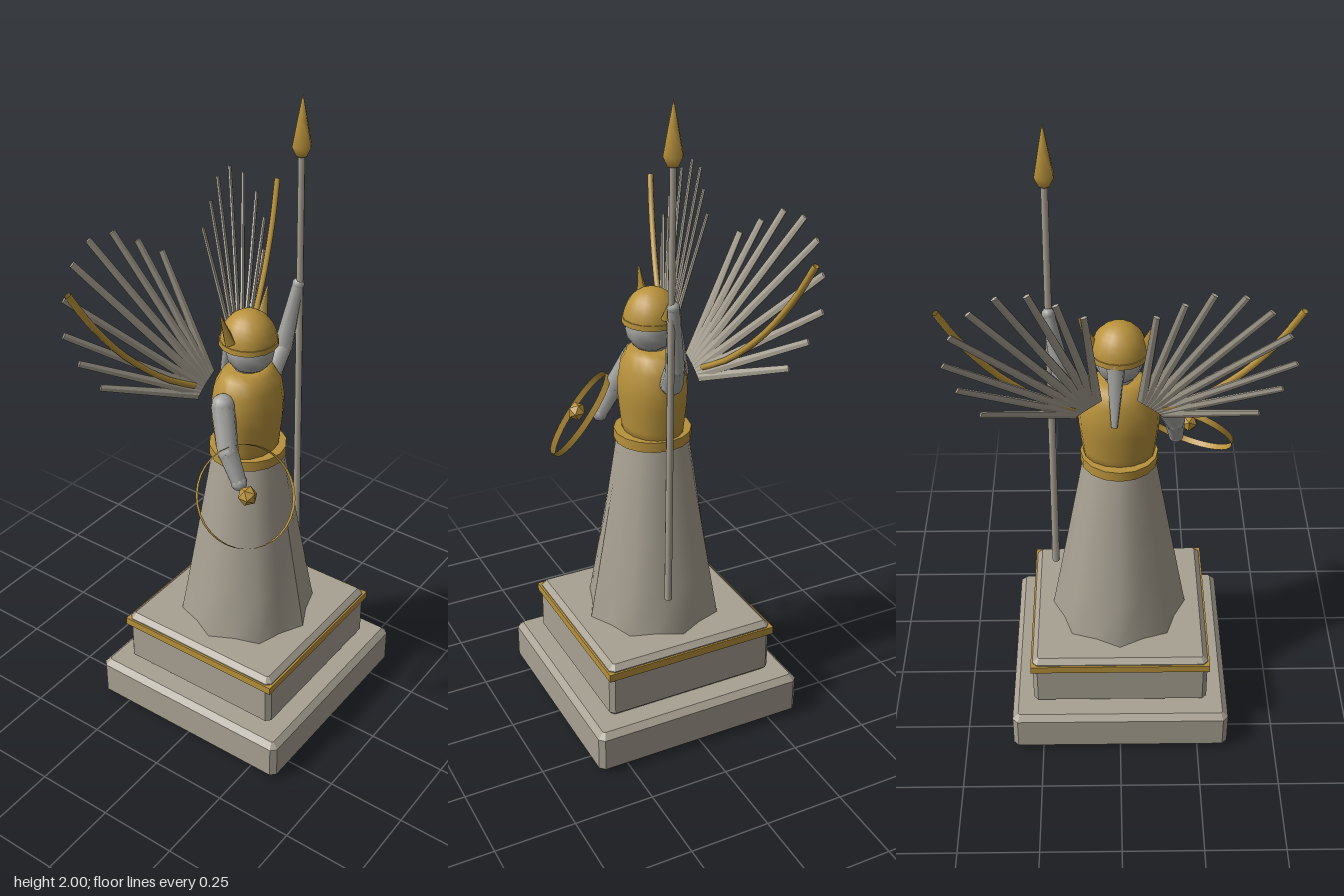
import * as THREE from 'three';

const mat = (name, color, side = THREE.FrontSide) => {
  const m = new THREE.MeshStandardMaterial({ color, side });
  m.name = name;
  return m;
};
const V = (x, y, z) => new THREE.Vector3(x, y, z);

export function createModel() {
  const root = new THREE.Group();
  root.name = 'wingedStatue';
  const stone = mat('warm stone', 0xa8a193);
  const skin = mat('pale grey', 0xa3a3a0);
  const gold = mat('gold', 0xb8923c, THREE.DoubleSide);

  const add = (name, geo, material, parent = root) => {
    const mesh = new THREE.Mesh(geo, material);
    mesh.name = name;
    parent.add(mesh);
    return mesh;
  };

  // Tapered round bar between two points
  const bar = (name, a, b, ra, rb, material, sides = 8, parent = root) => {
    const dir = b.clone().sub(a);
    const mesh = add(name, new THREE.CylinderGeometry(rb, ra, dir.length(), sides), material, parent);
    mesh.position.copy(a).lerp(b, 0.5);
    mesh.quaternion.setFromUnitVectors(V(0, 1, 0), dir.normalize());
    return mesh;
  };
  const ball = (name, p, r, material, parent = root) => {
    const mesh = add(name, new THREE.SphereGeometry(r, 10, 8), material, parent);
    mesh.position.copy(p);
    return mesh;
  };

  // Square block with all edges chamfered
  const block = (name, half, y0, y1, c) => {
    const h = half - c, k = h - c * 0.3;
    const s = new THREE.Shape([
      [-k, -h], [k, -h], [h, -k], [h, k], [k, h], [-k, h], [-h, k], [-h, -k],
    ].map(([x, y]) => new THREE.Vector2(x, y)));
    const g = new THREE.ExtrudeGeometry(s, {
      depth: y1 - y0 - 2 * c, bevelEnabled: true, bevelSegments: 1, bevelSize: c, bevelThickness: c,
    });
    g.rotateX(-Math.PI / 2).translate(0, y0 + c, 0);
    return add(name, g, stone);
  };

  // Pedestal
  block('lowerPlinth', 0.347, 0, 0.143, 0.018);
  block('upperPlinth', 0.279, 0.143, 0.33, 0.016);
  add('plinthTrim', new THREE.BoxGeometry(0.57, 0.025, 0.57), gold).position.y = 0.298;

  // Gown with softly folded hem
  const gown = new THREE.CylinderGeometry(0.108, 0.212, 0.62, 16, 4, true);
  const p = gown.attributes.position;
  for (let i = 0; i < p.count; i++) {
    const a = Math.atan2(p.getX(i), p.getZ(i));
    const t = 0.5 - p.getY(i) / 0.62;
    const f = 1 + t * (0.055 * Math.cos(8 * a) - 0.03);
    p.setX(i, p.getX(i) * f);
    p.setZ(i, p.getZ(i) * f);
  }
  gown.computeVertexNormals();
  add('gown', gown, stone).position.y = 0.64;

  // Breastplate and belt
  const profile = [[0.0, 0.935], [0.106, 0.935], [0.112, 0.98], [0.122, 1.06], [0.124, 1.11],
    [0.114, 1.17], [0.09, 1.21], [0.065, 1.222], [0, 1.222]].map(([x, y]) => new THREE.Vector2(x, y));
  add('breastplate', new THREE.LatheGeometry(profile, 16), gold).scale.z = 0.83;
  add('belt', new THREE.CylinderGeometry(0.119, 0.119, 0.032, 16), gold).position.y = 0.943;

  // Head, helmet and braid
  bar('neck', V(0, 1.18, 0), V(0, 1.26, 0), 0.045, 0.04, skin, 10);
  ball('head', V(0, 1.285, 0.008), 0.074, skin);
  const helmet = add('helmet', new THREE.SphereGeometry(0.086, 16, 8, 0, Math.PI * 2, 0, Math.PI / 2), gold);
  helmet.position.set(0, 1.308, 0.003);
  helmet.scale.y = 1.17;
  add('helmetBrim', new THREE.CylinderGeometry(0.088, 0.089, 0.016, 16), gold).position.set(0, 1.312, 0.003);
  const braid = bar('braid', V(0.01, 1.31, -0.06), V(0.015, 1.12, -0.108), 0.03, 0.01, skin, 6);
  braid.scale.z = 0.8;
  for (const s of [-1, 1])
    bar('helmetHorn', V(s * 0.078, 1.335, -0.008), V(s * 0.115, 1.435, -0.012), 0.021, 0.003, gold, 4);

  // Lowered right arm
  const shoulderR = V(-0.125, 1.15, 0), elbowR = V(-0.17, 1.03, 0.05), handR = V(-0.178, 0.945, 0.095);
  bar('rightUpperArm', shoulderR, elbowR, 0.036, 0.032, skin);
  ball('rightShoulder', shoulderR, 0.036, skin);
  ball('rightElbow', elbowR, 0.032, skin);
  bar('rightForearm', elbowR, handR, 0.032, 0.024, skin);
  ball('rightHand', handR, 0.025, skin);

  // Raised left arm
  const shoulderL = V(0.125, 1.15, 0), elbowL = V(0.168, 1.22, 0.012), handL = V(0.204, 1.42, 0.037);
  bar('leftUpperArm', shoulderL, elbowL, 0.035, 0.03, skin);
  ball('leftShoulder', shoulderL, 0.035, skin);
  ball('leftElbow', elbowL, 0.03, skin);
  bar('leftForearm', elbowL, handL, 0.03, 0.018, skin);
  ball('leftHand', handL, 0.019, skin);

  // Spear
  bar('spearShaft', V(0.207, 0.47, 0.05), V(0.202, 1.84, 0.04), 0.012, 0.01, stone);
  const tip = [[0, 1.82], [0.017, 1.82], [0.031, 1.85], [0.016, 1.925], [0, 2]];
  add('spearHead', new THREE.LatheGeometry(tip.map(([x, y]) => new THREE.Vector2(x, y)), 6), gold)
    .position.set(0.202, 0, 0.04);

  // Open hoop shield with a central boss
  const hoop = add('shieldHoop', new THREE.CylinderGeometry(0.152, 0.152, 0.02, 32, 1, true), gold);
  hoop.position.set(-0.215, 0.938, 0.147);
  hoop.quaternion.setFromUnitVectors(V(0, 1, 0), V(-0.37, 0.58, 0.72).normalize());
  add('shieldBoss', new THREE.IcosahedronGeometry(0.03, 0), gold).position.set(-0.22, 0.947, 0.156);

  // Wings: fans of flat feathers, each tip given as x, y, z
  const tips = [[0.097, 1.57, -0.232], [0.17, 1.623, -0.258], [0.243, 1.668, -0.285],
    [0.325, 1.67, -0.3], [0.395, 1.625, -0.3], [0.45, 1.545, -0.288],
    [0.475, 1.45, -0.275], [0.445, 1.355, -0.255], [0.388, 1.258, -0.232]];
  for (const s of [-1, 1]) {
    const wing = new THREE.Group();
    wing.name = s > 0 ? 'leftWing' : 'rightWing';
    root.add(wing);
    const normal = V(s * 0.38, 0.21, 0.89).normalize();
    tips.forEach(([x, y, z], i) => {
      const t = i / (tips.length - 1);
      const a = V(s * (0.065 + 0.06 * t), 1.2 - 0.045 * t, -0.09), b = V(s * x, y, z);
      const up = b.clone().sub(a), len = up.length();
      up.normalize();
      const side = up.clone().cross(normal).normalize();
      const front = side.clone().cross(up);
      const g = new THREE.CylinderGeometry(0.011, 0.016, len, 6).toNonIndexed();
      g.scale(1, 1, 0.45);
      g.computeVertexNormals();
      const feather = add('feather', g, stone, wing);
      feather.position.copy(a).lerp(b, 0.5);
      feather.quaternion.setFromRotationMatrix(new THREE.Matrix4().makeBasis(side, up, front));
    });
    // Curved gilded leading edge
    const curve = new THREE.CatmullRomCurve3([V(s * 0.13, 1.185, -0.1), V(s * 0.22, 1.24, -0.135),
      V(s * 0.34, 1.355, -0.178), V(s * 0.43, 1.48, -0.212), V(s * 0.488, 1.59, -0.236)]);
    add('wingEdge', new THREE.TubeGeometry(curve, 12, 0.01, 6), gold, wing);
  }

  return root;
}
